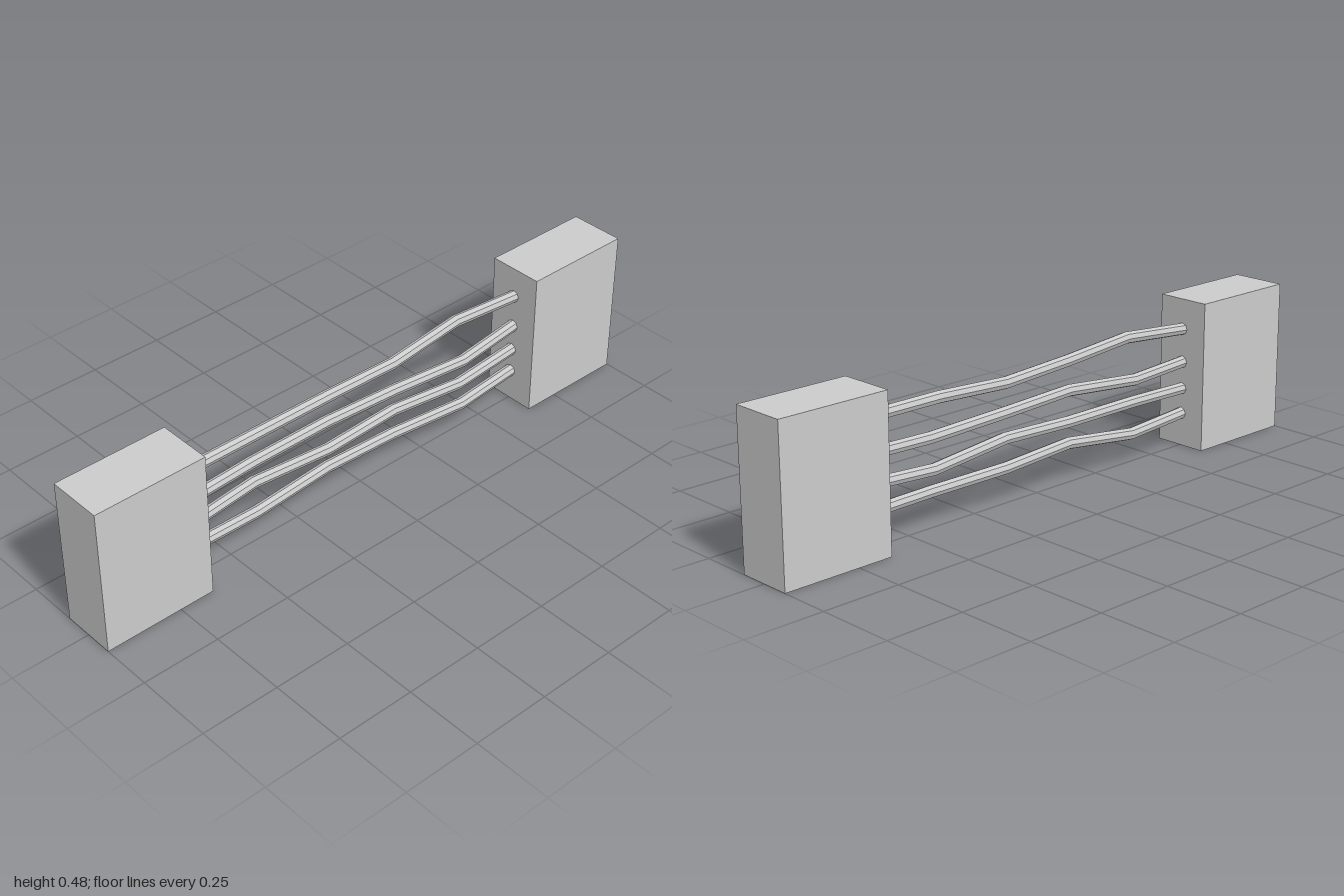
import * as THREE from 'three';

// Straight-segment path with one tube ring exactly at every kink
class KinkedPath extends THREE.Curve {
  constructor(points) {
    super();
    this.points = points;
  }
  getPoint(t, target = new THREE.Vector3()) {
    const s = t * (this.points.length - 1);
    const i = Math.min(Math.floor(s), this.points.length - 2);
    return target.lerpVectors(this.points[i], this.points[i + 1], s - i);
  }
  getPointAt(u, target) {
    return this.getPoint(u, target);
  }
  getTangentAt(u, target) {
    return this.getTangent(u, target);
  }
}

export function createModel() {
  const group = new THREE.Group();
  group.name = 'cableLink';
  const material = new THREE.MeshStandardMaterial({ color: 0xcccccc, flatShading: true });

  // End blocks
  const blockGeometry = new THREE.BoxGeometry(0.364, 0.477, 0.178);
  for (const side of [-1, 1]) {
    const block = new THREE.Mesh(blockGeometry, material);
    block.name = side > 0 ? 'leftBlock' : 'rightBlock';
    block.position.set(side * 0.818, 0.2385, 0);
    group.add(block);
  }

  // Kinked cables: heights and depths at the shared stations along x
  const stations = [-0.65, -0.395, -0.13, 0.13, 0.4, 0.65];
  const cables = [
    { y: [0.38, 0.396, 0.381, 0.369, 0.388, 0.381], z: [0, 0.017, 0.003, -0.003, -0.017, 0] },
    { y: [0.275, 0.27, 0.289, 0.276, 0.261, 0.275], z: [0, -0.018, 0, 0.004, 0.018, 0] },
    { y: [0.187, 0.199, 0.19, 0.2, 0.17, 0.187], z: [0, -0.015, 0.002, 0, 0.005, 0] },
    { y: [0.107, 0.094, 0.124, 0.11, 0.101, 0.106], z: [0, -0.008, 0, -0.003, 0.018, 0] },
  ];
  cables.forEach(({ y, z }, i) => {
    const path = new KinkedPath(stations.map((x, k) => new THREE.Vector3(x, y[k], z[k])));
    const cable = new THREE.Mesh(new THREE.TubeGeometry(path, stations.length - 1, 0.019, 8), material);
    cable.name = `cable${i + 1}`;
    group.add(cable);
  });

  return group;
}
